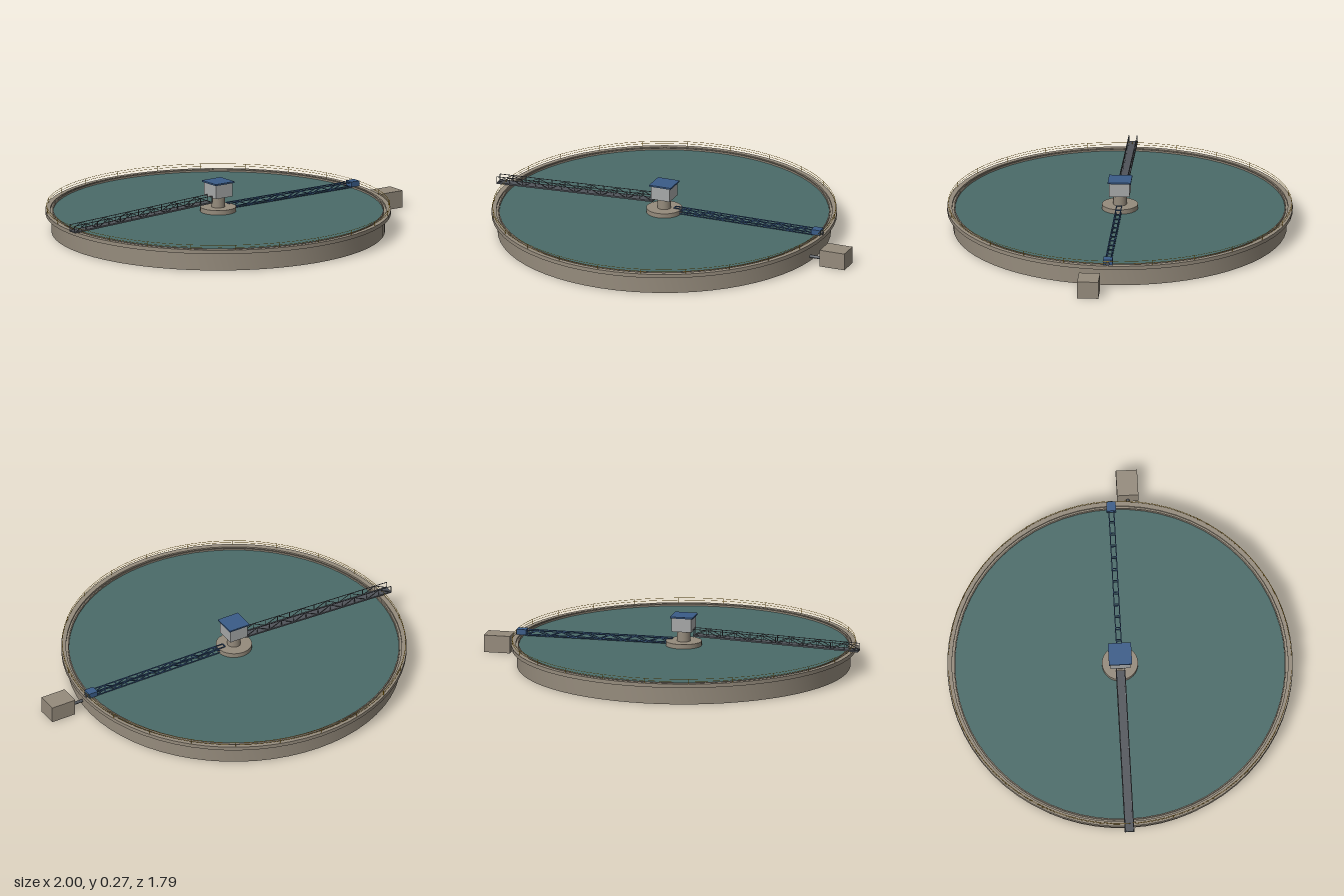
import * as THREE from 'three';
import { mergeGeometries, toCreasedNormals } from 'three/addons/utils/BufferGeometryUtils.js';

const material = (name, color) => {
  const m = new THREE.MeshStandardMaterial({ color });
  m.name = name;
  return m;
};
const V = (x, y, z) => new THREE.Vector3(x, y, z);

export function createModel() {
  const concrete = material('concrete', 0x958b7c);
  const water = material('water', 0x4a6b69);
  water.side = THREE.DoubleSide;
  const blue = material('blue paint', 0x3a5c88);
  const cabinGrey = material('cabin grey', 0xa6a8a8);
  const steel = material('dark steel', 0x50545a);
  const yellow = material('safety yellow', 0xc8960f);

  const root = new THREE.Group();
  root.name = 'clarifierTank';
  // tank assembly is offset to leave room for the outlet box
  const tank = new THREE.Group();
  tank.name = 'tankAssembly';
  tank.position.x = -0.07;
  root.add(tank);

  const add = (parent, name, geometry, mat, x = 0, y = 0, z = 0) => {
    const mesh = new THREE.Mesh(geometry, mat);
    mesh.name = name;
    mesh.position.set(x, y, z);
    parent.add(mesh);
    return mesh;
  };
  const box = (parent, name, w, h, d, mat, x, y, z) =>
    add(parent, name, new THREE.BoxGeometry(w, h, d), mat, x, y, z);
  const lathe = (name, pts, segments, mat) =>
    add(tank, name, toCreasedNormals(
      new THREE.LatheGeometry(pts.map(p => new THREE.Vector2(...p)), segments), 0.5), mat);

  // merges straight square bars running between pairs of points
  const bars = (name, pairs, t, mat) => {
    const helper = new THREE.Object3D();
    const parts = pairs.map(([a, b]) => {
      const g = new THREE.BoxGeometry(t, t, a.distanceTo(b));
      helper.position.copy(a).add(b).multiplyScalar(0.5);
      helper.lookAt(b);
      helper.updateMatrix();
      return g.applyMatrix4(helper.matrix);
    });
    return add(tank, name, mergeGeometries(parts), mat);
  };

  // wall with overhanging rim and overflow channel
  lathe('tankWall', [
    [0.852, 0], [0.862, 0], [0.862, 0.095], [0.893, 0.095], [0.893, 0.115],
    [0.868, 0.115], [0.868, 0.106], [0.858, 0.106], [0.858, 0.115],
    [0.852, 0.115], [0.852, 0],
  ], 64, concrete);
  const surface = new THREE.RingGeometry(0.09, 0.853, 64, 1).rotateX(-Math.PI / 2);
  add(tank, 'waterSurface', surface, water, 0, 0.106, 0);

  // central feed well and column
  lathe('feedWell', [
    [0.086, 0.07], [0.093, 0.07], [0.093, 0.13], [0, 0.13], [0, 0.122], [0.086, 0.122], [0.086, 0.07],
  ], 32, concrete);
  add(tank, 'centreColumn', new THREE.CylinderGeometry(0.035, 0.035, 0.19, 24), concrete, 0, 0.095, 0);

  // drive cabin
  box(tank, 'cabin', 0.104, 0.072, 0.104, cabinGrey, 0, 0.222, 0);
  box(tank, 'cabinRoof', 0.12, 0.008, 0.12, blue, 0, 0.262, 0);

  // railing around the rim
  const posts = [], rails = [];
  const onRim = (i, y) => {
    const a = i * Math.PI / 12;
    return V(Math.cos(a) * 0.887, y, Math.sin(a) * 0.887);
  };
  for (let i = 0; i < 24; i++) {
    posts.push([onRim(i, 0.114), onRim(i, 0.141)]);
    for (const y of [0.128, 0.14])
      for (let k = 0; k < 3; k++) rails.push([onRim(i + k / 3, y), onRim(i + (k + 1) / 3, y)]);
  }
  bars('railingPosts', posts, 0.002, yellow);
  bars('railingRails', rails, 0.0013, yellow);

  // sloping access bridge: deck and trussed handrails
  const deckY = t => 0.128 + t * 0.035;
  const bridge = (t, h, z) => V(-0.93 + t * 0.875, deckY(t) + h, z);
  const deck = box(tank, 'bridgeDeck', 0.876, 0.006, 0.04, steel, -0.4925, deckY(0.5), 0);
  deck.rotation.z = Math.atan2(0.035, 0.875);
  const chords = [], webs = [], n = 12;
  for (const z of [-0.021, 0.021]) {
    chords.push([bridge(0, 0, z), bridge(1, 0, z)]);
    webs.push([bridge(0, 0.034, z), bridge(1, 0.034, z)]);
    for (let i = 0; i <= n; i++) {
      webs.push([bridge(i / n, 0, z), bridge(i / n, 0.034, z)]);
      if (i < n) webs.push([bridge(i / n, i % 2 ? 0.034 : 0, z), bridge((i + 1) / n, i % 2 ? 0 : 0.034, z)]);
    }
  }
  bars('bridgeChords', chords, 0.008, steel);
  bars('bridgeHandrails', webs, 0.0028, steel);

  // rotating scraper arm: box truss
  const arm = [], x0 = 0.06, x1 = 0.84, m = 12;
  const armX = i => x0 + (x1 - x0) * i / m;
  const low = 0.114, high = 0.14, half = 0.013;
  for (const z of [-half, half]) {
    for (const y of [low, high]) arm.push([V(x0, y, z), V(x1, y, z)]);
    for (let i = 0; i < m; i++) {
      const up = i % 2;
      arm.push([V(armX(i), up ? high : low, z), V(armX(i + 1), up ? low : high, z)]);
    }
  }
  for (let i = 0; i <= m; i++)
    for (const y of [low, high]) arm.push([V(armX(i), y, -half), V(armX(i), y, half)]);
  bars('scraperArm', arm, 0.0045, blue);

  // rim drive carriage with wheel
  box(tank, 'driveCarriage', 0.05, 0.028, 0.048, blue, 0.857, 0.131, 0);
  const wheel = new THREE.CylinderGeometry(0.01, 0.01, 0.008, 16).rotateZ(Math.PI / 2);
  add(tank, 'driveWheel', wheel, steel, 0.886, 0.125, 0);

  // outlet pipe and box
  const pipe = new THREE.CylinderGeometry(0.008, 0.008, 0.1, 16).rotateZ(Math.PI / 2);
  add(root, 'outletPipe', pipe, steel, 0.815, 0.025, 0.09);
  box(root, 'outletBox', 0.138, 0.09, 0.11, concrete, 0.931, 0.045, 0.09);

  return root;
}
